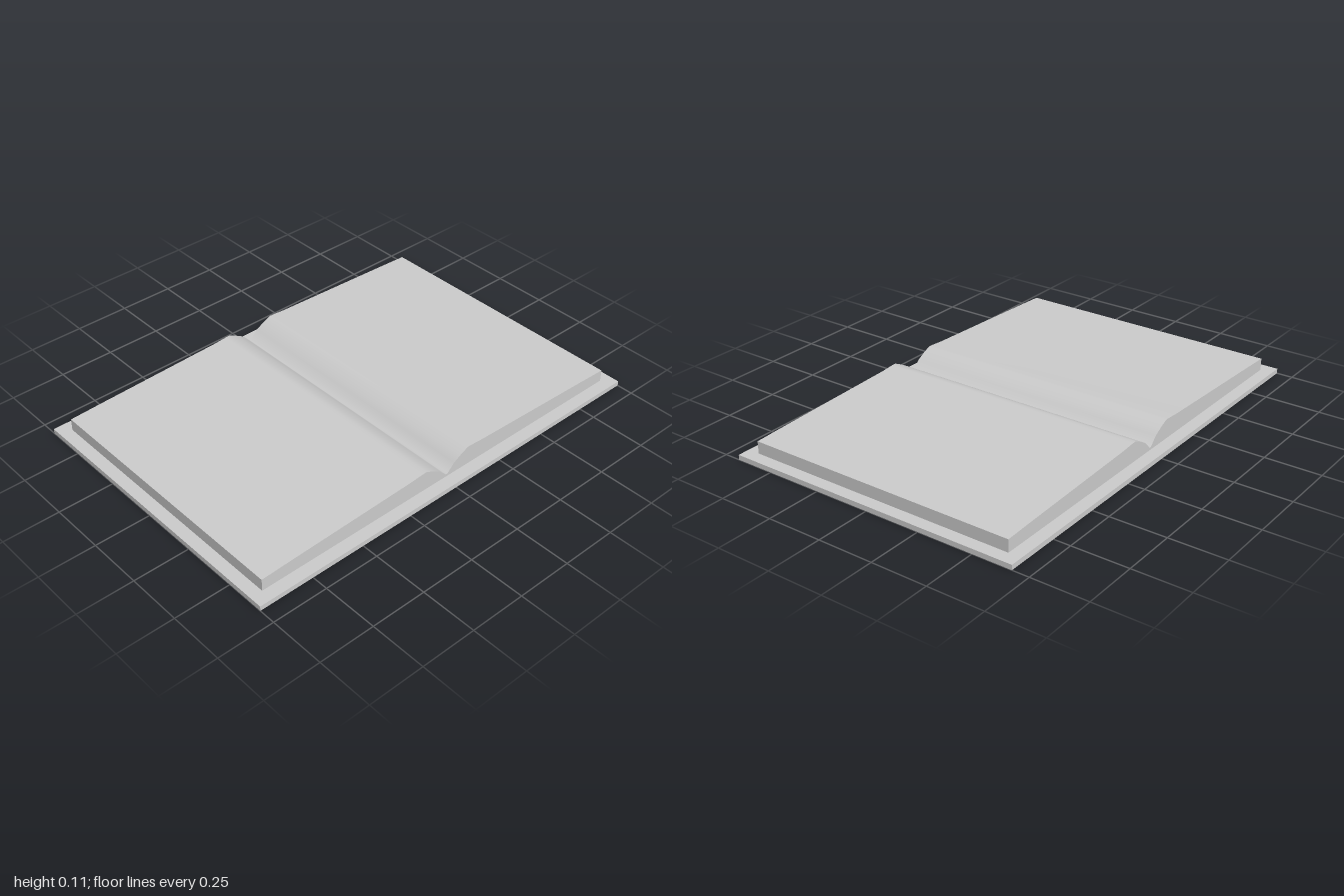
import * as THREE from 'three';
import { toCreasedNormals } from 'three/addons/utils/BufferGeometryUtils.js';

const COVER = { width: 2, height: 0.022, depth: 1.352 };
const PAGE_DEPTH = 1.24;

// Right half of the page block's top edge, from the gutter outwards
const HALF_PROFILE = [
  [0.004, 0.033], [0.04, 0.07], [0.075, 0.09], [0.115, 0.109], [0.135, 0.109],
  [0.2, 0.104], [0.4, 0.097], [0.6, 0.09], [0.8, 0.083], [0.945, 0.077],
];

export function createModel() {
  const group = new THREE.Group();
  const material = new THREE.MeshStandardMaterial({ color: 0xcccccc });

  // Flat cover lying open
  const cover = new THREE.Mesh(
    new THREE.BoxGeometry(COVER.width, COVER.height, COVER.depth), material);
  cover.name = 'cover';
  cover.position.y = COVER.height / 2;
  group.add(cover);

  // Page block: mirrored profile extruded along the spine
  const edge = HALF_PROFILE[HALF_PROFILE.length - 1][0];
  const outline = [
    [-edge, COVER.height],
    [edge, COVER.height],
    ...[...HALF_PROFILE].reverse(),
    ...HALF_PROFILE.map(([x, y]) => [-x, y]),
  ];
  const shape = new THREE.Shape(outline.map(([x, y]) => new THREE.Vector2(x, y)));
  const geometry = new THREE.ExtrudeGeometry(shape, { depth: PAGE_DEPTH, bevelEnabled: false });
  geometry.translate(0, 0, -PAGE_DEPTH / 2);

  // Smooth over the page curves, sharp at the block's outer edges
  const pages = new THREE.Mesh(toCreasedNormals(geometry, Math.PI / 3), material);
  pages.name = 'pages';
  group.add(pages);

  return group;
}
